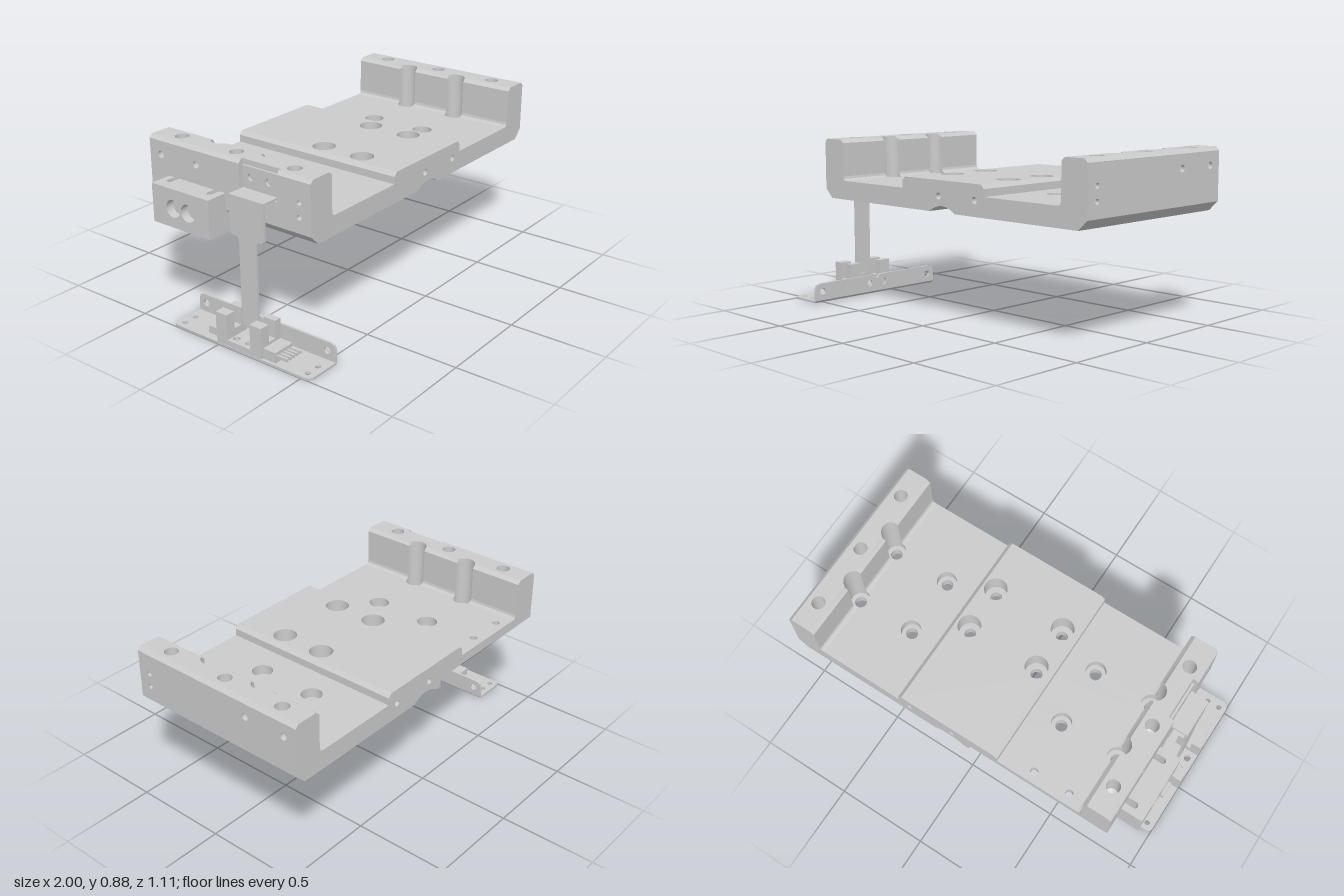
import * as THREE from 'three';
import { toCreasedNormals } from 'three/addons/utils/BufferGeometryUtils.js';

const material = new THREE.MeshStandardMaterial({ color: 0xcccccc });
const openMaterial = new THREE.MeshStandardMaterial({ color: 0xcccccc, side: THREE.DoubleSide });

// Round hole [u, v, radius], or a slot when a half length along u is added
function holePoints([u, v, r, half = 0]) {
  const pts = [];
  for (let i = 0; i < 24; i++) {
    const a = ((i + 0.5) / 24) * Math.PI * 2;
    pts.push([u + r * Math.cos(a) + Math.sign(Math.cos(a)) * half, v + r * Math.sin(a)]);
  }
  return pts;
}

// Prism along an axis. Outline is (x,z) for y, (x,y) for z and (z,y) for x.
// top / bottom = [min, max] pull the end outline in along x to form chamfers.
function prism(parent, name, axis, from, to, outline, holes = [], { top, bottom } = {}) {
  const map = ([u, v]) => new THREE.Vector2(axis === 'x' ? -u : u, axis === 'y' ? -v : v);
  // Outlines run counter-clockwise and holes clockwise, so all walls face outward
  const wind = (pts, clockwise) => {
    const mapped = pts.map(map);
    return THREE.ShapeUtils.isClockWise(mapped) === clockwise ? mapped : mapped.reverse();
  };
  const shape = new THREE.Shape(wind(outline, false));
  holes.forEach((h) => shape.holes.push(new THREE.Path(wind(holePoints(h), true))));
  const geo = new THREE.ExtrudeGeometry(shape, { depth: to - from, bevelEnabled: false });
  geo.translate(0, 0, from);
  if (axis === 'y') geo.rotateX(-Math.PI / 2);
  if (axis === 'x') geo.rotateY(Math.PI / 2);
  const p = geo.attributes.position;
  const mid = (from + to) / 2;
  for (let i = 0; i < p.count; i++) {
    const range = p.getY(i) > mid ? top : bottom;
    if (range) p.setX(i, THREE.MathUtils.clamp(p.getX(i), range[0], range[1]));
  }
  geo.computeVertexNormals();
  const mesh = new THREE.Mesh(toCreasedNormals(geo, 0.5), material);
  mesh.name = name;
  parent.add(mesh);
}

const rect = (u0, v0, u1, v1) => [[u0, v0], [u1, v0], [u1, v1], [u0, v1]];

function box(parent, name, x0, x1, y0, y1, z0, z1) {
  const mesh = new THREE.Mesh(new THREE.BoxGeometry(x1 - x0, y1 - y0, z1 - z0), material);
  mesh.name = name;
  mesh.position.set((x0 + x1) / 2, (y0 + y1) / 2, (z0 + z1) / 2);
  parent.add(mesh);
}

// Conical end of a blind hole
function drillTip(parent, r, x, y, z, rx, rz) {
  const mesh = new THREE.Mesh(new THREE.ConeGeometry(r, r * 0.6, 24, 1, true), openMaterial);
  mesh.name = 'drillTip';
  mesh.position.set(x, y, z);
  mesh.rotation.set(rx, 0, rz);
  parent.add(mesh);
}

const BACK = -0.555, FRONT = 0.44, BORE = 0.052;
const BASE = 0.567, POCKET = [0.02, 0.247];

// Wall plan with half-round bolt channels cut into its inner side
function wallPlan(side, inner, outer, pocket) {
  const pts = [[outer, FRONT]];
  if (pocket) pts.push([outer, POCKET[1]], [0.89, POCKET[1]], [0.89, POCKET[0]], [outer, POCKET[0]]);
  pts.push([outer, BACK], [inner, BACK]);
  const a0 = Math.acos((inner - 0.77) / BORE);
  for (const z of [-0.22, 0.1])
    for (let i = 0; i <= 14; i++) {
      const a = -a0 + (2 * a0 * i) / 14;
      pts.push([0.77 + BORE * Math.cos(a), z + BORE * Math.sin(a)]);
    }
  pts.push([inner, FRONT]);
  return pts.map(([x, z]) => [x * side, z]);
}

function buildPlate() {
  const g = new THREE.Group();
  g.name = 'mountingPlate';
  const floorHoles = [], centreHoles = [];
  for (const s of [-1, 1]) {
    for (const z of [-0.22, 0.1]) floorHoles.push([0.77 * s, z], [0.45 * s, z]);
    for (const z of [-0.06, 0.18]) centreHoles.push([0.2 * s, z]);
  }
  const all = [...floorHoles, ...centreHoles];
  const sized = (list, r) => list.map(([x, z]) => [x, z, r]);

  // Lower layer: two halves with chamfered outer edges, the left one relieved at the back
  const bottom = [-0.87, 0.87];
  prism(g, 'lowerPlateRight', 'y', BASE, 0.616, rect(0.09, BACK, 0.92, FRONT),
    sized(all.filter((h) => h[0] > 0), 0.03), { bottom });
  prism(g, 'lowerPlateLeft', 'y', BASE, 0.616,
    [[-0.09, BACK], [-0.12, BACK], [-0.123, -0.48], [-0.137, -0.452], [-0.17, -0.44],
      [-0.92, -0.44], [-0.92, FRONT], [-0.09, FRONT]],
    sized(all.filter((h) => h[0] < 0), 0.03), { bottom });

  // Bridge over the shallow groove
  const arc = new THREE.QuadraticBezierCurve(new THREE.Vector2(-0.09, BASE),
    new THREE.Vector2(0, 0.63), new THREE.Vector2(0.09, BASE)).getPoints(14).map((p) => [p.x, p.y]);
  prism(g, 'grooveBridge', 'z', BACK, FRONT, [...arc, [0.09, 0.616], [-0.09, 0.616]]);

  // Upper floor with counterbores and pockets for the drilled end blocks
  prism(g, 'floorPlate', 'y', 0.616, 0.667, [
    [-0.92, BACK], [-0.08, BACK], [-0.08, -0.48], [0.28, -0.48], [0.28, BACK], [0.92, BACK],
    [0.92, FRONT], [0.28, FRONT], [0.28, 0.36], [-0.08, 0.36], [-0.08, FRONT], [-0.92, FRONT],
  ], [...sized(floorHoles, BORE), ...sized(centreHoles, 0.06), [-0.67, -0.5, 0.02], [-0.47, -0.5, 0.02]]);
  for (const [z0, z1, tip, rx] of [[BACK, -0.48, -0.486, Math.PI / 2], [0.36, FRONT, 0.366, -Math.PI / 2]]) {
    prism(g, 'drilledEnd', 'z', z0, z1, rect(-0.08, 0.616, 0.28, 0.667),
      [[-0.025, 0.646, 0.017], [0.225, 0.646, 0.017]]);
    for (const x of [-0.025, 0.225]) drillTip(g, 0.017, x, 0.646, tip, rx, 0);
  }

  // Raised centre pad
  prism(g, 'padBase', 'y', 0.667, 0.705, rect(-0.29, BACK, 0.29, FRONT), sized(centreHoles, 0.06));
  prism(g, 'padTop', 'y', 0.705, 0.725, rect(-0.29, BACK, 0.29, FRONT), sized(centreHoles, 0.06),
    { top: [-0.27, 0.27] });

  // Side walls with corner fillet, blind top holes, chamfered top and drilled outer skin
  for (const s of [-1, 1]) {
    const range = (a, b) => (s > 0 ? [a, b] : [-b, -a]);
    const holeZ = [-0.41, -0.06, 0.29];
    const holes = holeZ.map((z) => [0.845 * s, z, 0.035]);
    const fillet = [[0.75, 0.667], [0.76, 0.67], [0.767, 0.677], [0.77, 0.69]];
    for (let i = 0; i < 3; i++)
      prism(g, 'wallFillet', 'y', fillet[i][1], fillet[i + 1][1], wallPlan(s, fillet[i][0], 0.89), [],
        { top: range(fillet[i + 1][0], 0.89) });
    prism(g, 'wall', 'y', 0.69, 0.867, wallPlan(s, 0.77, 0.89), holes);
    prism(g, 'wallTop', 'y', 0.867, 0.885, wallPlan(s, 0.77, 0.92, s < 0), holes, { top: range(0.79, 0.902) });
    for (const z of holeZ) drillTip(g, 0.035, 0.845 * s, 0.702, z, Math.PI, 0);

    // Outer skin; the left one has a pocket for the flag mount
    const skin = [[BACK, 0.667], [FRONT, 0.667], [FRONT, 0.867]];
    if (s < 0) skin.push([POCKET[1], 0.867], [POCKET[1], 0.735], [POCKET[0], 0.735], [POCKET[0], 0.867]);
    skin.push([BACK, 0.867]);
    const sideHoles = [[0.373, 0.763, 0.013], [0.373, 0.693, 0.013], [-0.253, 0.797, 0.018], [-0.483, 0.797, 0.018]];
    const [x0, x1] = range(0.89, 0.92);
    prism(g, 'wallSkin', 'x', x0, x1, skin, sideHoles);
    for (const [z, y, r] of sideHoles) drillTip(g, r, 0.897 * s, y, z, 0, (s * Math.PI) / 2);
  }
  g.position.x = 0.08;
  return g;
}

// Angle bracket carrying the two fork sensors
function buildSensorBracket() {
  const g = new THREE.Group();
  g.name = 'sensorBracket';
  const bodyHoles = [[-0.96, 0.08, 0.018], [-0.96, 0.155, 0.018]];
  const foot = [...bodyHoles];
  for (const z of [-0.26, 0.51]) foot.push([-0.96, z, 0.014], [-0.89, z, 0.014]);
  prism(g, 'bracketBase', 'y', 0, 0.012, [[-0.975, -0.3], [-0.803, -0.3], [-0.803, 0.553],
    [-0.975, 0.553], [-0.993, 0.543], [-1, 0.525], [-1, -0.275], [-0.993, -0.293]], foot,
  { bottom: [-1, -0.815] });
  prism(g, 'bracketFlange', 'x', -0.815, -0.803, [[-0.3, 0.012], [0.553, 0.012], [0.553, 0.075],
    [0.545, 0.097], [0.525, 0.105], [0.155, 0.105], [0.14, 0.098], [0.127, 0.08], [0.114, 0.098],
    [0.1, 0.105], [-0.27, 0.105], [-0.292, 0.097], [-0.3, 0.075]],
  [0.505, 0.177, 0.077, -0.252].map((z) => [z, 0.06, 0.018]));

  // Low sensor body, fork blocks with prongs, connector and pins
  prism(g, 'sensorBody', 'y', 0.012, 0.04, rect(-0.998, -0.01, -0.86, 0.265), bodyHoles);
  box(g, 'sensorFoot', -0.96, -0.87, 0.012, 0.05, -0.1, 0);
  box(g, 'connector', -0.985, -0.865, 0.012, 0.065, 0.26, 0.34);
  for (let i = 0; i < 5; i++) {
    const x = -0.97 + i * 0.023;
    box(g, 'connectorPin', x - 0.006, x + 0.006, 0.035, 0.05, 0.33, 0.4);
  }
  for (const [z0, z1] of [[-0.013, 0.055], [0.198, 0.267]])
    prism(g, 'forkSensor', 'z', z0, z1, [[-0.998, 0.03], [-0.862, 0.03], [-0.862, 0.17],
      [-0.9, 0.17], [-0.9, 0.08], [-0.945, 0.08], [-0.945, 0.17], [-0.998, 0.17]]);
  return g;
}

// Bent sheet flag hanging from the wall between the sensor forks
function buildFlag() {
  const g = new THREE.Group();
  g.name = 'sensorFlag';
  prism(g, 'flagBlade', 'x', -0.924, -0.912, [[0.085, 0.115], [0.095, 0.105], [0.175, 0.105],
    [0.185, 0.115], [0.185, 0.543], [0.2, 0.553], [0.225, 0.553], [0.237, 0.565], [0.237, 0.739],
    [0.03, 0.739], [0.03, 0.565], [0.042, 0.553], [0.07, 0.553], [0.085, 0.543]]);
  box(g, 'flagTop', -0.924, -0.814, 0.739, 0.751, 0.03, 0.237);
  prism(g, 'flagTab', 'x', -0.826, -0.814, rect(0.03, 0.751, 0.237, 0.86),
    [[0.08, 0.81, 0.018], [0.187, 0.81, 0.018]]);
  return g;
}

// Block on the wall: cross-bored outer half and vertically slotted inner half
function buildSideBlock() {
  const g = new THREE.Group();
  g.name = 'sideBlock';
  prism(g, 'boredFace', 'x', -0.955, -0.91, rect(-0.435, 0.503, -0.07, 0.7),
    [[-0.3, 0.6, 0.045], [-0.205, 0.6, 0.045]]);
  prism(g, 'slottedBody', 'y', 0.503, 0.7, rect(-0.91, -0.435, -0.812, -0.07),
    [[-0.865, -0.385, 0.016, 0.02], [-0.865, -0.125, 0.016, 0.02]]);
  return g;
}

export function createModel() {
  const model = new THREE.Group();
  model.name = 'plateWithSensor';
  model.add(buildPlate(), buildSensorBracket(), buildFlag(), buildSideBlock());
  return model;
}
